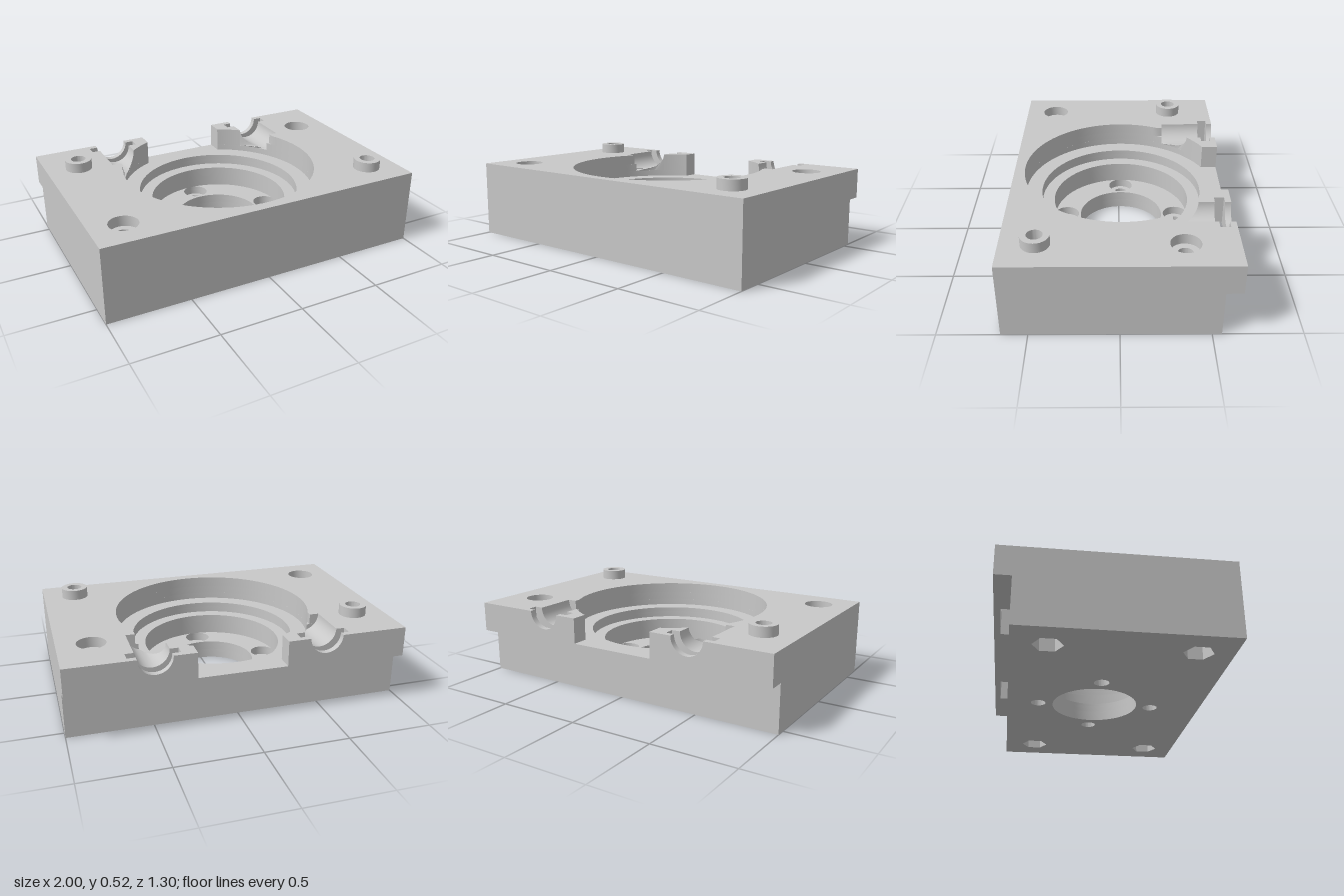
import * as THREE from 'three';
import { toCreasedNormals } from 'three/addons/utils/BufferGeometryUtils.js';

const CZ = -0.0125;                    // centre of the round recess
const R = 0.6, GAP = 0.265;            // recess radius, half width of the rear opening
const TOP = 0.463, BACK = -0.65, STEP = -0.554;
const SLOT = [-0.614, STEP];           // z range of the narrow cross slots
const END = -0.3;                      // z where the channels stop

export function createModel() {
  const model = new THREE.Group();
  const grey = new THREE.MeshStandardMaterial({ color: 0xc8c8c8 });
  grey.name = 'machined grey';

  const add = (name, geometry) => {
    const mesh = new THREE.Mesh(toCreasedNormals(geometry, 0.5), grey);
    mesh.name = name;
    model.add(mesh);
  };

  // Outlines are lists of [x, z]
  const arc = (cx, cz, r, a0, a1, n) => Array.from({ length: n + 1 }, (_, i) => {
    const a = a0 + (a1 - a0) * i / n;
    return [cx + r * Math.cos(a), cz + r * Math.sin(a)];
  });
  const ring = (cx, cz, r, n = 40, turn = 0) =>
    arc(cx, cz, r, turn, turn + Math.PI * 2, n).slice(0, -1);
  const rect = (x0, x1, z0, z1) => [[x0, z0], [x1, z0], [x1, z1], [x0, z1]];
  const flip = pts => pts.map(([x, z]) => [-x, z]);

  // Corners run anticlockwise so that outer and hole walls both face outward
  const toVec = pts => {
    const v = pts.map(([x, z]) => new THREE.Vector2(x, -z));
    return THREE.ShapeUtils.isClockWise(v) ? v.reverse() : v;
  };

  // Horizontal slab from y0 to y1 with holes
  const slab = (name, y0, y1, outline, holes = []) => {
    const shape = new THREE.Shape(toVec(outline));
    holes.forEach(h => shape.holes.push(new THREE.Path(toVec(h))));
    const g = new THREE.ExtrudeGeometry(shape, { depth: y1 - y0, bevelEnabled: false });
    g.rotateX(-Math.PI / 2).translate(0, y0, 0);
    add(name, g);
  };

  // Hole sets
  const socketSpots = [[-0.802, 0.451], [0.802, -0.353]];
  const bossSpots = [[-0.802, -0.353], [0.802, 0.451]];
  const corners = [...socketSpots, ...bossSpots];
  const screwSpots = [0, 1, 2, 3].map(i =>
    [0.352 * Math.cos(i * Math.PI / 2), CZ + 0.352 * Math.sin(i * Math.PI / 2)]);
  const holesAt = (spots, r, n, turn) => spots.map(([x, z]) => ring(x, z, r, n, turn));
  const bolts = holesAt(corners, 0.045);
  const hexes = holesAt(corners, 0.085, 6, Math.PI / 2);
  const topBolts = [...holesAt(socketSpots, 0.085), ...holesAt(bossSpots, 0.045)];
  const bore = ring(0, CZ, 0.262, 72);
  const slots = [rect(0.35, 0.65, ...SLOT), rect(-0.65, -0.35, ...SLOT)];

  // Lower body, from the underside upward
  const body = rect(-1, 1, STEP, 0.65);
  slab('baseWithNutPockets', 0, 0.06, body, [bore, ...holesAt(screwSpots, 0.045), ...hexes]);
  slab('baseWithScrewSeats', 0.06, 0.1, body, [bore, ...holesAt(screwSpots, 0.078), ...hexes]);
  slab('recessFloor', 0.1, 0.115, body, [bore, ...holesAt(screwSpots, 0.078), ...bolts]);
  slab('innerRecessWall', 0.115, 0.245, body, [ring(0, CZ, 0.425, 80), ...bolts]);
  slab('ringSeatWall', 0.245, 0.283, body, [ring(0, CZ, 0.5, 80), ...bolts]);

  // Overhanging flange
  slab('flangeFloor', 0.283, 0.31, rect(-1, 1, BACK, 0.65),
    [ring(0, CZ, 0.5, 80), ...slots, ...bolts]);
  const openAngle = Math.acos(GAP / R);
  slab('flangeRim', 0.31, 0.35, [
    [GAP, BACK], [1, BACK], [1, 0.65], [-1, 0.65], [-1, BACK], [-GAP, BACK],
    ...arc(0, CZ, R, Math.PI + openAngle, -openAngle, 80),
  ], [...slots, ...bolts]);

  // Top deck, notched for the two channels; tailX is where the channel end meets the recess
  const deck = tailX => {
    const half = [[tailX, END], [0.6, END], [0.6, SLOT[1]], [0.65, SLOT[1]], [0.65, SLOT[0]],
      [0.6, SLOT[0]], [0.6, BACK], [1, BACK], [1, 0.65]];
    const a = Math.acos(tailX / R);
    return [...half, ...flip(half).reverse(), ...arc(0, CZ, R, Math.PI + a, -a, 80).slice(0, -1),
      [tailX, CZ - R * Math.sin(a) + 1e-4]];
  };
  slab('deckLower', 0.35, 0.4, deck(0.526), bolts);
  slab('deckUpper', 0.4, TOP, deck(0.545), topBolts);

  // Blocks between the channels and the rear opening
  const block = [
    [GAP, BACK], [0.4, BACK], [0.4, SLOT[0]], [0.35, SLOT[0]], [0.35, SLOT[1]], [0.4, SLOT[1]],
    ...arc(0, CZ, R, -Math.acos(0.4 / R), -openAngle, 10),
  ];
  slab('rightBlock', 0.35, TOP, flip(block));
  slab('leftBlock', 0.35, TOP, block);

  // Half-round channels, their inner ends trimmed to the recess wall
  const cradle = (name, cx, z0, z1, trim) => {
    const pts = [];
    for (let i = 0; i <= 24; i++) {
      const a = Math.PI * (1 + i / 24);
      pts.push(new THREE.Vector2(cx + 0.1 * Math.cos(a), TOP + 0.1 * Math.sin(a)));
    }
    for (let i = 0; i <= 16; i++) pts.push(new THREE.Vector2(cx + 0.1 - 0.2 * i / 16, 0.35));
    const g = new THREE.ExtrudeGeometry(new THREE.Shape(pts),
      { depth: z1 - z0, bevelEnabled: false });
    g.translate(0, 0, z0);
    const p = g.attributes.position;
    for (let i = 0; trim && i < p.count; i++) {
      if (p.getZ(i) < z1 - 1e-4) continue;
      const x = p.getX(i);
      p.setZ(i, Math.min(END, CZ - Math.sqrt(Math.max(0, R * R - x * x))));
    }
    add(name, g);
  };
  for (const [side, cx] of [['left', 0.5], ['right', -0.5]]) {
    cradle(side + 'ChannelRear', cx, BACK, SLOT[0], false);
    cradle(side + 'ChannelInner', cx, SLOT[1], END, true);
  }

  // Raised locating bosses
  bossSpots.forEach(([x, z]) =>
    slab('locatingBoss', TOP, 0.524, ring(x, z, 0.081), [ring(x, z, 0.045)]));

  return model;
}
